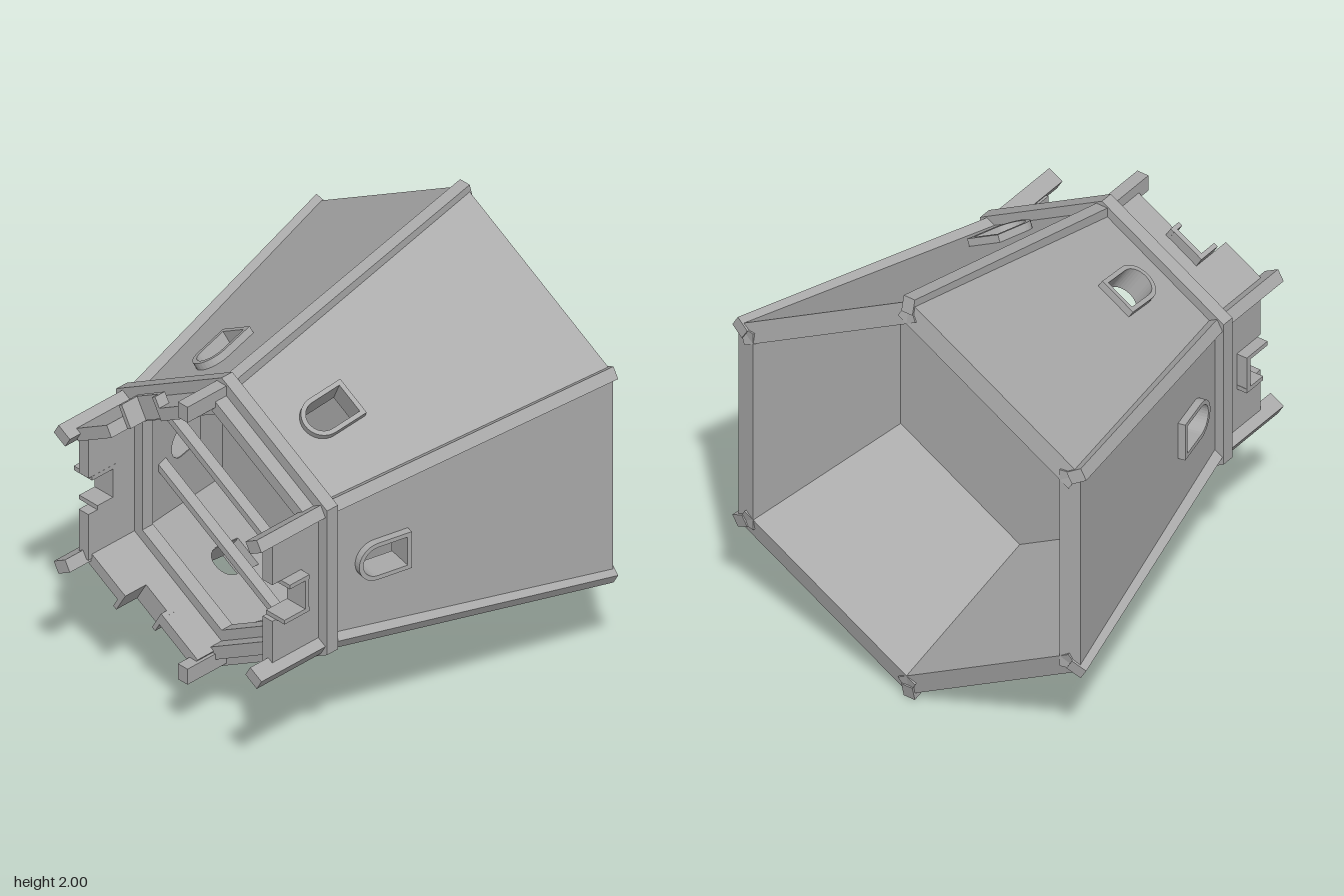
import * as THREE from 'three';

const STONE = new THREE.MeshStandardMaterial({ color: 0xaaaaaa });
STONE.name = 'grey stone';
const SIDE = Math.PI / 3;
const WALL_SLOPE = 0.222, CORNER_SLOPE = 0.249;

function add(parent, name, geometry, x = 0, y = 0, z = 0) {
  const mesh = new THREE.Mesh(geometry, STONE);
  mesh.name = name;
  mesh.position.set(x, y, z);
  parent.add(mesh);
  return mesh;
}

// Local frame on one side: x runs around the tower, y along it, z points outward
function sideFrame(name, angle, slope, radius, z) {
  const e = new THREE.Vector3(Math.cos(angle), Math.sin(angle), 0);
  const axis = new THREE.Vector3(0, 0, 1);
  const along = axis.clone().addScaledVector(e, -slope).normalize();
  const out = e.clone().addScaledVector(axis, slope).normalize();
  const around = new THREE.Vector3().crossVectors(along, out);
  const group = new THREE.Group();
  group.name = name;
  group.quaternion.setFromRotationMatrix(new THREE.Matrix4().makeBasis(around, along, out));
  group.position.copy(e).multiplyScalar(radius).setZ(z);
  return group;
}

function hexPoints(apothem) {
  const r = apothem / Math.cos(Math.PI / 6);
  return Array.from({ length: 6 }, (_, i) => new THREE.Vector2(
    r * Math.cos(Math.PI / 6 + i * SIDE), r * Math.sin(Math.PI / 6 + i * SIDE)));
}

function hexPlate(outer, inner, depth) {
  const shape = new THREE.Shape(hexPoints(outer));
  if (inner) shape.holes.push(new THREE.Path(hexPoints(inner)));
  return new THREE.ExtrudeGeometry(shape, { depth, bevelEnabled: false });
}

// Arched window outline with its round end towards the battlements
function arch(PathType, half, base, spring) {
  const p = new PathType();
  p.moveTo(-half, base);
  p.lineTo(half, base);
  p.lineTo(half, spring);
  p.absarc(0, spring, half, 0, Math.PI, false);
  p.lineTo(-half, base);
  return p;
}

function extrude(shape, depth) {
  return new THREE.ExtrudeGeometry(shape, { depth, bevelEnabled: false, curveSegments: 8 });
}

export function createModel() {
  const model = new THREE.Group();
  model.name = 'hexagonal tower';
  const tower = new THREE.Group();
  tower.name = 'tower';
  tower.position.y = 1;
  model.add(tower);

  // Parapet heights on each side: before, inside and after the notch
  const parapets = [
    [0.77, 0.62, 0.77], [0.575, 0.575, 0.575], [0.665, 0.62, 0.81],
    [0.77, 0.62, 0.77], [0.75, 0.62, 0.665], [0.575, 0.575, 0.575],
  ];

  for (let i = 0; i < 6; i++) {
    // Sloping wall with an arched window
    const wall = sideFrame('wallSide', i * SIDE, WALL_SLOPE, 0.85, -0.845);
    const top = 1.305 * Math.hypot(1, WALL_SLOPE);
    const panel = new THREE.Shape([
      new THREE.Vector2(-0.49, 0), new THREE.Vector2(0.49, 0),
      new THREE.Vector2(0.323, top), new THREE.Vector2(-0.323, top),
    ]);
    panel.holes.push(arch(THREE.Path, 0.07, 0.985, 1.125));
    add(wall, 'wall', extrude(panel, 0.09), 0, 0, -0.09);

    const surround = arch(THREE.Shape, 0.088, 0.965, 1.125);
    surround.holes.push(arch(THREE.Path, 0.068, 0.985, 1.125));
    add(wall, 'windowFrame', extrude(surround, 0.12), 0, 0, -0.088);
    tower.add(wall);

    // Parapet with its stepped, broken edge
    const crown = sideFrame('parapetSide', i * SIDE, 0, 0.5, 0);
    const [a, b, c] = parapets[i];
    const outline = [
      [-0.31, 0.49], [0.31, 0.49], [0.31, c], [0.088, c],
      [0.088, b], [-0.088, b], [-0.088, a], [-0.31, a],
    ].map(([x, y]) => new THREE.Vector2(x, y));
    add(crown, 'parapet', extrude(new THREE.Shape(outline), 0.055));
    if (b > 0.6) {
      // Projecting lip around the notch
      add(crown, 'notchSill', new THREE.BoxGeometry(0.176, 0.022, 0.105), 0, b + 0.003, 0.052);
      for (const [s, h] of [[-1, Math.min(a, 0.75)], [1, Math.min(c, 0.72)]]) {
        add(crown, 'notchJamb', new THREE.BoxGeometry(0.02, h - b + 0.01, 0.105),
          s * 0.078, (h + b - 0.01) / 2, 0.052);
      }
    }
    tower.add(crown);

    // Ribs along the wall corners and posts standing above the collar
    const corner = Math.PI / 6 + i * SIDE;
    const rib = sideFrame('cornerRib', corner, CORNER_SLOPE, 1, -0.845);
    const length = 1.31 * Math.hypot(1, CORNER_SLOPE);
    add(rib, 'rib', new THREE.BoxGeometry(0.055, length, 0.07), 0, length / 2, -0.035);
    tower.add(rib);

    const tip = i === 1 || i === 4 ? 0.73 : 0.87;
    const post = sideFrame('cornerPost', corner, 0, 0.635, 0);
    add(post, 'post', new THREE.BoxGeometry(0.055, tip - 0.48, 0.075), 0, (tip + 0.48) / 2, 0);
    tower.add(post);
  }

  // Collar ring and inner floor
  add(tower, 'collar', hexPlate(0.605, 0.455, 0.06), 0, 0, 0.453);
  add(tower, 'floor', hexPlate(0.61, 0, 0.04), 0, 0, -0.1);

  // Joists below the collar
  const inside = sideFrame('interior', SIDE, 0, 0, 0);
  for (const offset of [-0.27, -0.01, 0.318]) {
    const span = 2 * (1 - Math.abs(offset)) / Math.sqrt(3);
    add(inside, 'joist', new THREE.BoxGeometry(span, 0.05, 0.03), 0, 0.37, offset);
  }

  // Staircase from the floor up to the joists
  const steps = 12;
  for (let i = 0; i < steps; i++) {
    const f = i / (steps - 1);
    add(inside, 'stairTread', new THREE.BoxGeometry(0.04, 0.014, 0.13),
      -0.31 + 0.42 * f, -0.05 + 0.39 * f, 0.385);
  }
  for (const offset of [0.322, 0.448]) {
    const stringer = add(inside, 'stairStringer', new THREE.BoxGeometry(0.6, 0.035, 0.012),
      -0.1, 0.145, offset);
    stringer.rotation.z = Math.atan2(0.39, 0.42);
  }
  tower.add(inside);

  return model;
}
